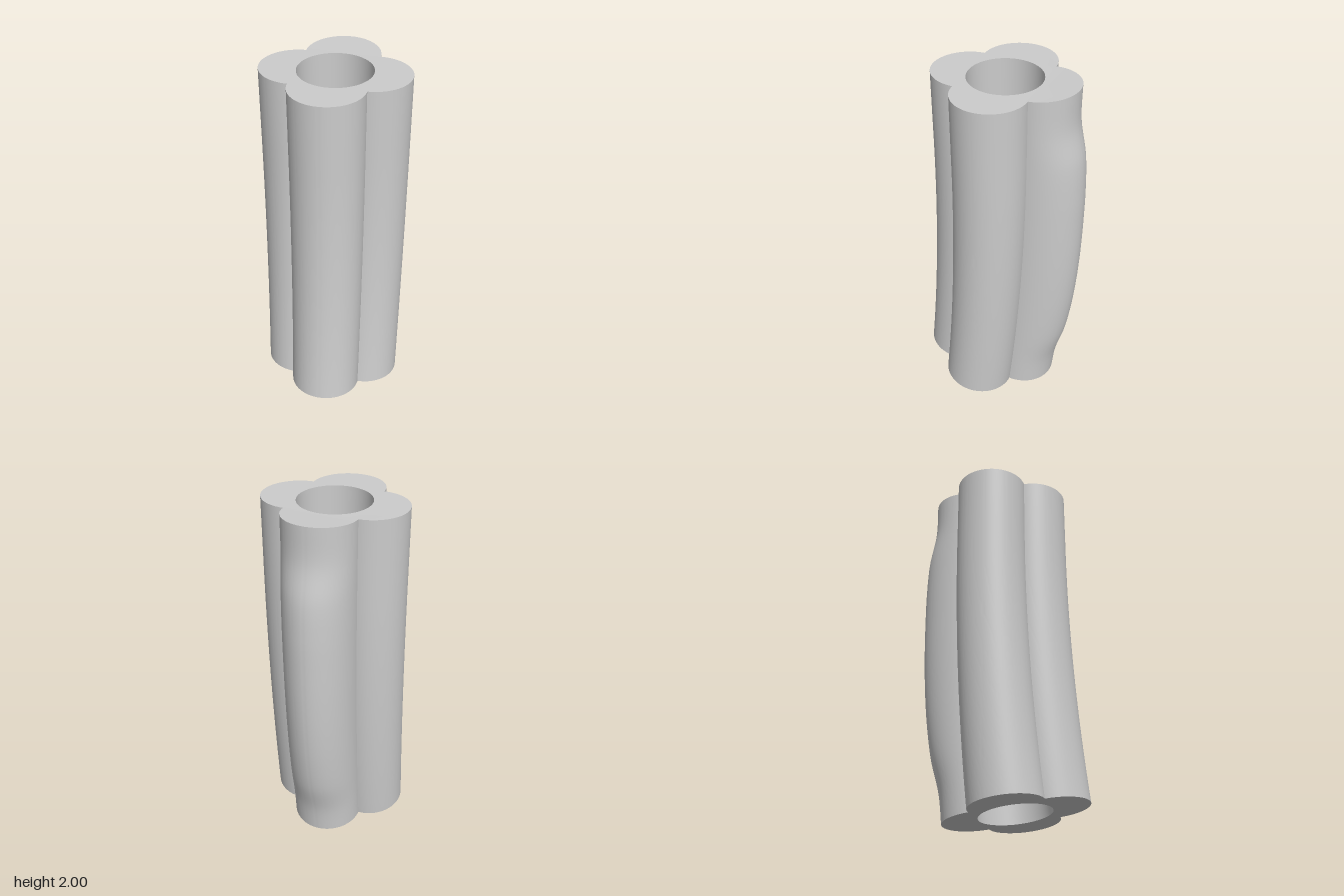
import * as THREE from 'three';
import { toCreasedNormals } from 'three/addons/utils/BufferGeometryUtils.js';

const R = 0.2; // radius of each lobe and of the bore
const BASE = 0.04, TOP = 1.99;

// Thickness added to the rear lobe, at even heights from y = 0 to y = 2
const swell = new THREE.SplineCurve(
  [0, 0.003, 0.038, 0.055, 0.062, 0.063, 0.06, 0.055, 0.041, 0.003, 0]
    .map((b, i) => new THREE.Vector2(i * 0.2, b)));

// Four-lobed section with a round bore
function lobedSection() {
  const shape = new THREE.Shape();
  for (let i = 0; i < 4; i++) {
    const a = i * Math.PI / 2;
    shape.absarc(R * Math.cos(a), R * Math.sin(a), R, a - Math.PI / 2, a + Math.PI / 2, false);
  }
  const bore = new THREE.Path();
  bore.absarc(0, 0, R, 0, Math.PI * 2, true);
  shape.holes.push(bore);
  return shape;
}

export function createModel() {
  const group = new THREE.Group();
  const geo = new THREE.ExtrudeGeometry(lobedSection(), {
    depth: TOP - BASE, steps: 72, curveSegments: 36, bevelEnabled: false,
  });
  geo.rotateX(-Math.PI / 2);
  geo.translate(0, BASE, 0);

  // Swell the rear lobe, then bend the lower part forward
  const pos = geo.attributes.position;
  for (let i = 0; i < pos.count; i++) {
    const h = pos.getY(i);
    let z = pos.getZ(i);
    let y = h;
    const rear = Math.max(0, (-z - R) / R); // 0 at the lobe root, 1 at its crest
    z -= rear * swell.getPoint(h / 2).y;
    y += rear * 0.01 * Math.max(0, (h - 1.8) / (TOP - 1.8));
    const d = Math.max(0, 1.6 - h);
    pos.setXYZ(i, pos.getX(i), y + z * 0.07 * d, z - 0.01 + 0.035 * d * d);
  }

  const tube = new THREE.Mesh(toCreasedNormals(geo, 0.6),
    new THREE.MeshStandardMaterial({ color: 0xcccccc }));
  tube.name = 'lobedTube';
  group.add(tube);
  return group;
}
